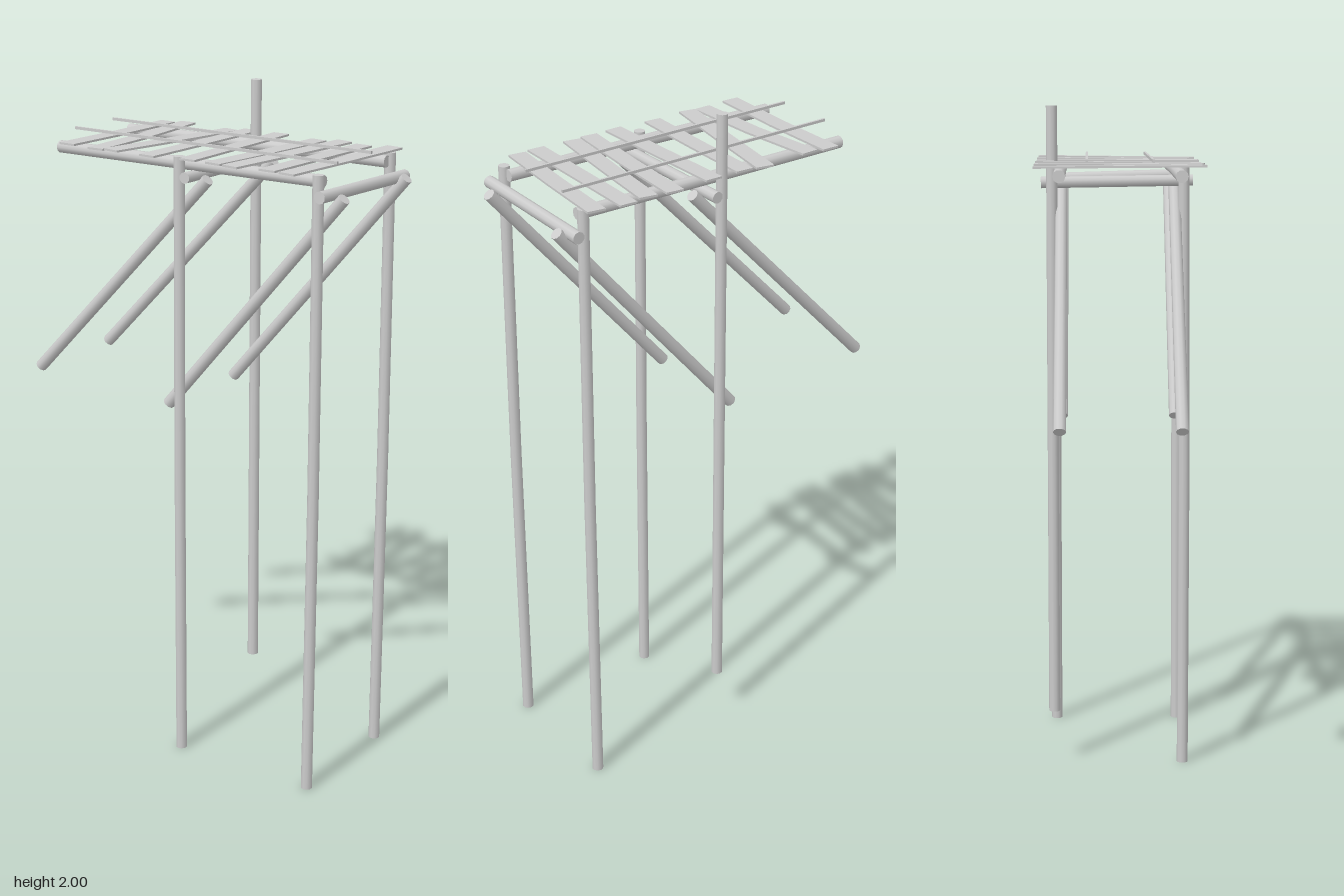
import * as THREE from 'three';

const UP = new THREE.Vector3(0, 1, 0);
const material = new THREE.MeshStandardMaterial({ color: 0xcccccc });

// Round pole from a to b, slightly bowed at its middle by (bendX, bendZ) in its own frame
function pole(name, a, b, radius, bendX = 0, bendZ = 0) {
  const start = new THREE.Vector3(...a);
  const end = new THREE.Vector3(...b);
  const dir = end.clone().sub(start);
  const geometry = new THREE.CylinderGeometry(radius * 0.97, radius, dir.length(), 10, 2);
  const pos = geometry.attributes.position;
  for (let i = 0; i < pos.count; i++) {
    if (Math.abs(pos.getY(i)) < 1e-4) {
      pos.setX(i, pos.getX(i) + bendX);
      pos.setZ(i, pos.getZ(i) + bendZ);
    }
  }
  const mesh = new THREE.Mesh(geometry, material);
  mesh.name = name;
  mesh.position.copy(start).add(end).multiplyScalar(0.5);
  mesh.quaternion.setFromUnitVectors(UP, dir.normalize());
  return mesh;
}

// Flat plank across z, following the x of its back end, middle and front end
function plank(xBack, xMid, xFront, y, tilt) {
  const width = 0.053, reach = 0.24;
  const geometry = new THREE.BoxGeometry(width, 0.006, reach * 2, 1, 1, 2);
  const pos = geometry.attributes.position;
  const slope = (xFront - xBack) / (reach * 2);
  for (let i = 0; i < pos.count; i++) {
    const z = pos.getZ(i), side = pos.getX(i);
    const centre = z < -0.01 ? xBack : z > 0.01 ? xFront : xMid;
    pos.setX(i, centre + side);
    pos.setZ(i, z - side * slope);
    pos.setY(i, pos.getY(i) + y + (z / reach) * tilt);
  }
  geometry.computeVertexNormals();
  const mesh = new THREE.Mesh(geometry, material);
  mesh.name = 'deckPlank';
  return mesh;
}

export function createModel() {
  const model = new THREE.Group();
  model.name = 'scaffoldPlatform';

  // Upright posts; the back middle one sits higher than the rest
  model.add(
    pole('frontRightPost', [0.005, 0, 0.198], [0.005, 1.835, 0.193], 0.017, 0, 0.003),
    pole('frontLeftPost', [0.459, 0, 0.198], [0.463, 1.835, 0.193], 0.017, 0.003, 0),
    pole('backLeftPost', [0.459, 0, -0.195], [0.461, 1.835, -0.193], 0.017, 0.003, 0),
    pole('backRightPost', [0.005, 0.165, -0.195], [0.005, 2, -0.195], 0.017)
  );

  // Long beams and diagonal braces on both sides
  for (const side of [-1, 1]) {
    const z = side * 0.168;
    model.add(
      pole('longBeam', [-0.44, 1.811, z], [0.465, 1.813, z], 0.018, 0, side * 0.002),
      pole('outerBrace', [-0.537, 1.123, z], [0.085, 1.773, z], 0.018),
      pole('innerBrace', [-0.055, 1.092, z], [0.53, 1.773, z], 0.018)
    );
  }

  // Cross bars carrying the beams
  model.add(
    pole('crossBar', [0.043, 1.775, -0.228], [0.043, 1.782, 0.222], 0.017),
    pole('crossBar', [0.494, 1.768, -0.22], [0.49, 1.782, 0.23], 0.018)
  );

  // Uneven deck planks: x at back, middle and front, height, tilt
  const planks = [
    [-0.347, -0.348, -0.359, 1.835, 0.002],
    [-0.272, -0.255, -0.256, 1.836, -0.002],
    [-0.112, -0.155, -0.201, 1.834, 0.002],
    [-0.041, -0.056, -0.074, 1.836, -0.002],
    [0.065, 0.065, 0.065, 1.838, 0],
    [0.195, 0.176, 0.15, 1.835, 0.002],
    [0.283, 0.247, 0.207, 1.837, -0.002],
    [0.347, 0.337, 0.328, 1.836, 0.002],
    [0.449, 0.422, 0.39, 1.838, -0.002]
  ];
  for (const p of planks) model.add(plank(...p));

  // Thin battens lying along the deck
  for (const z of [-0.092, 0.09]) {
    const batten = new THREE.Mesh(new THREE.BoxGeometry(0.905, 0.008, 0.007), material);
    batten.name = 'deckBatten';
    batten.position.set(0.007, 1.852, z);
    batten.rotation.z = -0.004;
    model.add(batten);
  }

  return model;
}
